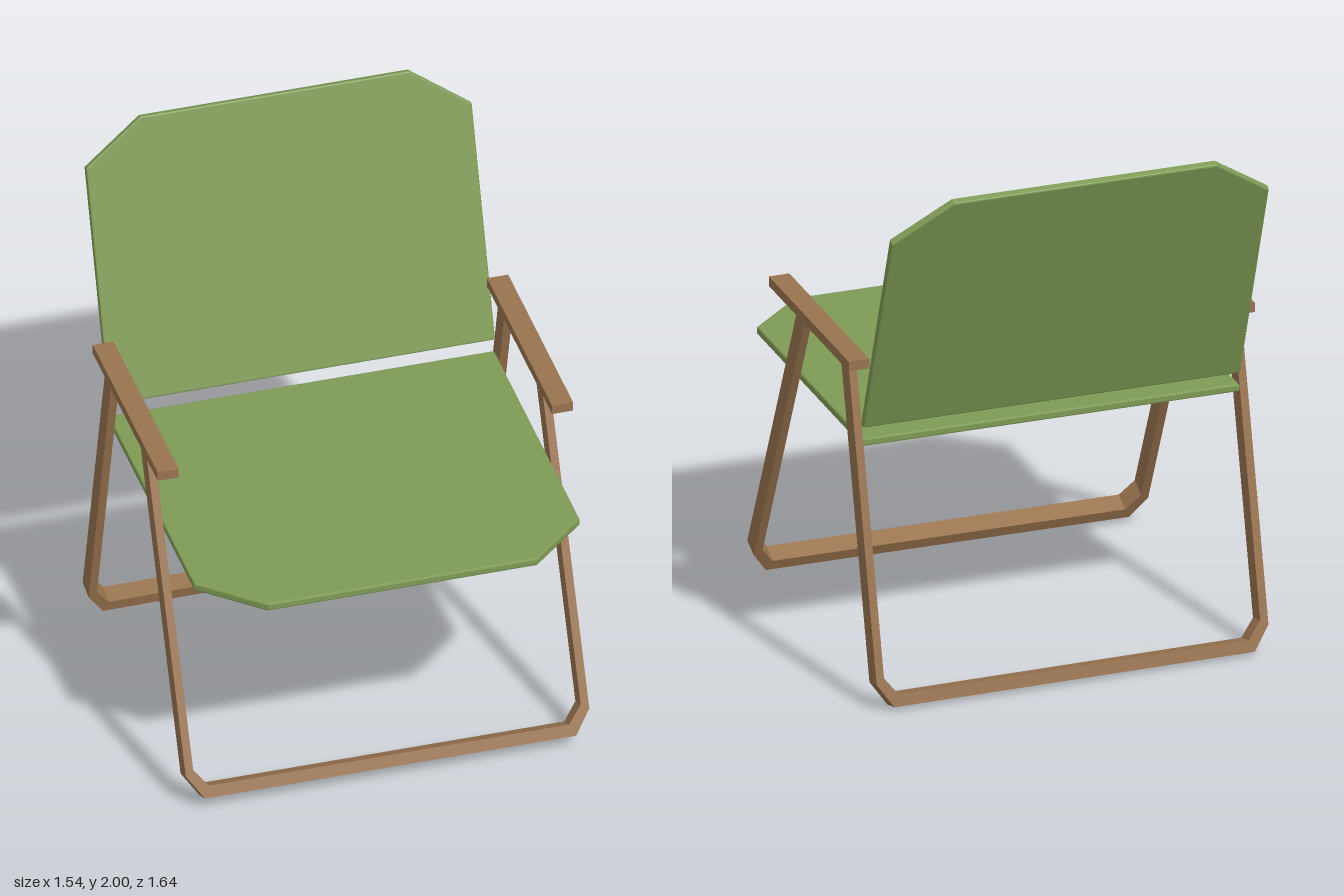
import * as THREE from 'three';

const fabric = new THREE.MeshStandardMaterial({ color: 0x7f9a55 });
fabric.name = 'green fabric';
const wood = new THREE.MeshStandardMaterial({ color: 0x98734f });
wood.name = 'brown wood';

const deg = Math.PI / 180;

function polygon(points) {
  return new THREE.Shape(points.map(([x, y]) => new THREE.Vector2(x, y)));
}

function addMesh(parent, name, geometry, material) {
  const mesh = new THREE.Mesh(geometry, material);
  mesh.name = name;
  parent.add(mesh);
  return mesh;
}

// U-shaped leg frame with cut corners, standing on its crossbar
function legFrame(length) {
  const half = [[0.75, length], [0.75, 0.09], [0.69, 0], [0.67, 0.044], [0.72, 0.11], [0.72, length]];
  const outer = half.slice(0, 3);
  const inner = half.slice(3);
  const flip = (list) => list.map(([x, y]) => [-x, y]).reverse();
  const shape = polygon([...outer, ...flip(outer), ...flip(inner), ...inner]);
  const depth = 0.073;
  return new THREE.ExtrudeGeometry(shape, { depth, bevelEnabled: false }).translate(0, 0, -depth / 2);
}

// Thin fabric panel with two cut corners at its far end and softened edges
function panel(length, cut) {
  const b = 0.006;
  const x = 0.717 - b;
  const thickness = 0.03;
  const shape = polygon([
    [-x, b], [x, b], [x, length - cut], [0.498, length - b], [-0.498, length - b], [-x, length - cut],
  ]);
  return new THREE.ExtrudeGeometry(shape, {
    depth: thickness - 2 * b, bevelSize: b, bevelThickness: b, bevelSegments: 2,
  }).translate(0, 0, b - thickness / 2);
}

export function createModel() {
  const chair = new THREE.Group();
  chair.name = 'foldingChair';

  // Crossed leg frames; the rear one sits slightly twisted
  const front = addMesh(chair, 'frontLegFrame', legFrame(1.344), wood);
  front.position.set(0, 0.037, 0.637);
  front.rotation.x = -25 * deg;

  const rear = addMesh(chair, 'rearLegFrame', legFrame(1.281), wood);
  rear.position.set(-0.003, 0.01, -0.662);
  rear.rotation.set(13.7 * deg, 0.0175, 0, 'YXZ');

  // Armrests
  for (const [side, name] of [[1, 'leftArmrest'], [-1, 'rightArmrest']]) {
    const arm = addMesh(chair, name, new THREE.BoxGeometry(0.078, 0.037, 0.822), wood);
    arm.position.set(side * 0.733, 1.258, -0.06);
  }

  // Seat and backrest
  const seat = addMesh(chair, 'seat', panel(1.28, 0.2), fabric);
  seat.position.set(0, 0.949, -0.46);
  seat.rotation.x = 90 * deg;

  const back = addMesh(chair, 'backrest', panel(1.04, 0.16), fabric);
  back.position.set(0, 1.016, -0.458);
  back.rotation.x = -19.6 * deg;

  return chair;
}
